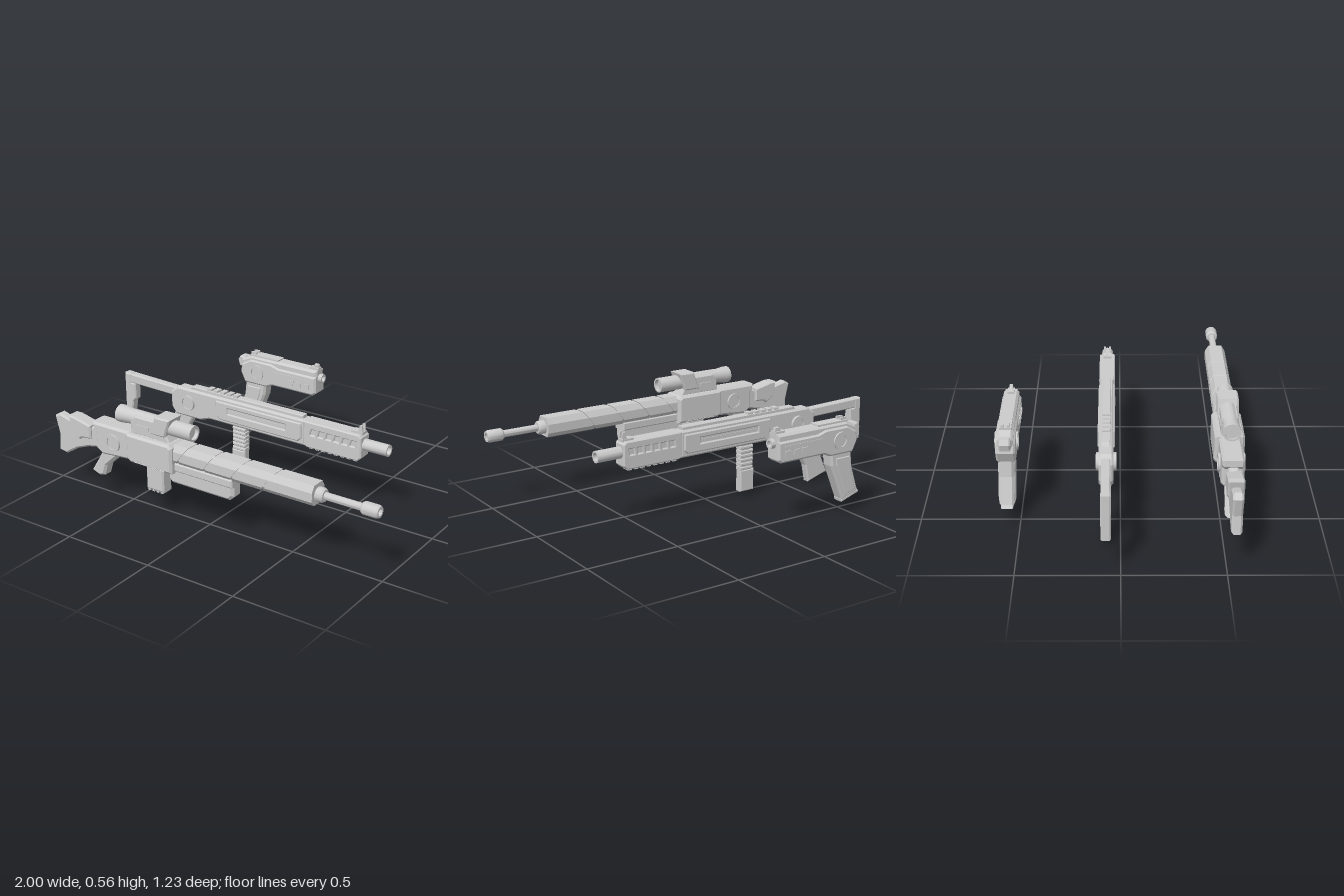
import * as THREE from 'three';
import { toCreasedNormals } from 'three/addons/utils/BufferGeometryUtils.js';

const grey = new THREE.MeshStandardMaterial({ color: 0xcccccc });

function add(group, name, geo) {
  const mesh = new THREE.Mesh(geo, grey);
  mesh.name = name;
  group.add(mesh);
  return mesh;
}

// Side outline (x, y) given thickness in z, with chamfered edges and optional holes
function slab(group, name, pts, half, bevel = 0.008, holes = []) {
  const toV = a => a.map(p => new THREE.Vector2(p[0], p[1]));
  const shape = new THREE.Shape(toV(pts));
  for (const h of holes) shape.holes.push(new THREE.Path(toV(h)));
  const geo = new THREE.ExtrudeGeometry(shape, {
    depth: 2 * (half - bevel), bevelEnabled: bevel > 0, bevelSegments: 1,
    bevelSize: bevel, bevelThickness: bevel, bevelOffset: -bevel
  });
  geo.translate(0, 0, bevel - half);
  return add(group, name, geo);
}

const rect = (x0, x1, y0, y1) => [[x0, y0], [x1, y0], [x1, y1], [x0, y1]];

function box(group, name, x0, x1, y0, y1, half, z = 0) {
  const geo = new THREE.BoxGeometry(x1 - x0, y1 - y0, 2 * half);
  geo.translate((x0 + x1) / 2, (y0 + y1) / 2, z);
  return add(group, name, geo);
}

// Turned part along x; profile holds [radius, x]
function turned(group, name, y, profile, sides = 24) {
  const geo = new THREE.LatheGeometry(profile.map(p => new THREE.Vector2(p[0], p[1])), sides);
  geo.rotateZ(-Math.PI / 2);
  geo.translate(0, y, 0);
  return add(group, name, toCreasedNormals(geo, 0.6));
}

// Round pivot through the body, with a recessed face on both sides
function pivot(group, x, y, r, h) {
  const q = 0.72 * r, d = h - 0.007;
  const prof = [[0, -d], [q, -d], [q, -h], [r, -h], [r, h], [q, h], [q, d], [0, d]];
  const geo = new THREE.LatheGeometry(prof.map(p => new THREE.Vector2(p[0], p[1])), 24);
  geo.rotateX(Math.PI / 2);
  geo.translate(x, y, 0);
  add(group, 'pivotDisc', toCreasedNormals(geo, 0.6));
}

// Faceted handguard section whose ends lean by k0 and k1
function guard(group, name, x0, x1, k0, k1, scale = 1) {
  const half = [[0.036, 0.055], [0.056, 0.022], [0.056, -0.025], [0.036, -0.05]];
  const pts = [...half, ...half.map(p => [-p[0], p[1]]).reverse()];
  const shape = new THREE.Shape(pts.map(p => new THREE.Vector2(p[0] * scale, p[1] * scale)));
  const geo = new THREE.ExtrudeGeometry(shape, { depth: 1, bevelEnabled: false });
  geo.rotateY(Math.PI / 2);
  const pos = geo.attributes.position;
  for (let i = 0; i < pos.count; i++) {
    const y = pos.getY(i), t = pos.getX(i);
    pos.setX(i, THREE.MathUtils.lerp(x0 + k0 * (y - 0.055), x1 + k1 * (y - 0.055), t));
  }
  geo.translate(0, 0.38, 0);
  geo.computeVertexNormals();
  add(group, name, geo);
}

function longRifle() {
  const g = new THREE.Group();
  g.name = 'scopedRifle';
  // Stock
  slab(g, 'butt', [[-0.97, 0.39], [-0.935, 0.41], [-0.84, 0.385], [-0.72, 0.385], [-0.66, 0.40], [-0.66, 0.28],
    [-0.74, 0.265], [-0.82, 0.235], [-0.90, 0.185], [-0.955, 0.195], [-0.945, 0.29]], 0.026, 0.01);
  slab(g, 'cheekRest', [[-0.86, 0.42], [-0.82, 0.42], [-0.71, 0.395], [-0.71, 0.32], [-0.77, 0.315], [-0.79, 0.30], [-0.84, 0.33]], 0.04);
  // Receiver
  slab(g, 'rearReceiver', [[-0.68, 0.435], [-0.43, 0.435], [-0.43, 0.28], [-0.62, 0.265], [-0.66, 0.29], [-0.66, 0.38], [-0.68, 0.40]], 0.055, 0.012);
  pivot(g, -0.54, 0.35, 0.047, 0.066);
  const rim = [[-0.44, 0.30], [-0.42, 0.28], [-0.15, 0.28], [-0.15, 0.42], [-0.17, 0.435], [-0.44, 0.435]];
  slab(g, 'receiverShell', rim, 0.075, 0.012, [rect(-0.375, -0.205, 0.30, 0.41)]);
  box(g, 'receiverCore', -0.42, -0.17, 0.29, 0.42, 0.045);
  turned(g, 'bolt', 0.355, [[0, -0.39], [0.056, -0.39], [0.056, -0.19], [0, -0.19]], 16);
  for (const x of [-0.345, -0.285, -0.225]) box(g, 'windowRib', x - 0.008, x + 0.008, 0.30, 0.41, 0.064);
  // Grip and magazine
  slab(g, 'grip', [[-0.63, 0.285], [-0.51, 0.285], [-0.55, 0.25], [-0.615, 0.19], [-0.635, 0.13], [-0.67, 0.12], [-0.72, 0.14], [-0.675, 0.21]], 0.034, 0.012);
  slab(g, 'magazine', rect(-0.345, -0.235, 0.14, 0.30), 0.036);
  for (let i = 0; i < 4; i++) box(g, 'magazineTooth', -0.34 + i * 0.027, -0.325 + i * 0.027, 0.13, 0.145, 0.03);
  // Handguard
  guard(g, 'handguardCore', -0.16, 0.655, 0, 0, 0.91);
  const cuts = [-0.15, -0.06, 0.1, 0.265, 0.45, 0.665], lean = [0, 0.75, 0.75, 0.75, 0.75, 0];
  for (let i = 0; i < 5; i++) guard(g, 'handguardPlate', cuts[i] + (i ? 0.006 : 0), cuts[i + 1] - (i < 4 ? 0.006 : 0), lean[i], lean[i + 1]);
  slab(g, 'lowerTube', [[-0.2, 0.335], [0.2, 0.335], [0.2, 0.24], [0.175, 0.215], [-0.18, 0.215], [-0.2, 0.235]], 0.038, 0.014);
  slab(g, 'lowerRail', rect(-0.2, 0.2, 0.29, 0.335), 0.046, 0.006);
  // Barrel
  turned(g, 'barrelCollar', 0.38, [[0, 0.65], [0.037, 0.65], [0.037, 0.695], [0.03, 0.705], [0, 0.705]], 12);
  turned(g, 'barrel', 0.38, [[0, 0.69], [0.019, 0.69], [0.019, 0.92], [0, 0.92]]);
  turned(g, 'muzzle', 0.38, [[0, 0.905], [0.026, 0.905], [0.033, 0.915], [0.033, 0.985], [0.028, 0.997], [0.018, 0.997], [0.018, 0.95], [0, 0.95]]);
  // Scope
  turned(g, 'scopeTube', 0.503, [[0, -0.515], [0.036, -0.515], [0.036, -0.527], [0.046, -0.527], [0.046, -0.50], [0.039, -0.445],
    [0.041, -0.43], [0.041, -0.055], [0.032, -0.055], [0.032, -0.075], [0, -0.075]]);
  slab(g, 'scopeMount', [[-0.43, 0.43], [-0.18, 0.43], [-0.20, 0.465], [-0.25, 0.53], [-0.40, 0.53], [-0.43, 0.49]], 0.044);
  slab(g, 'scopeBlock', [[-0.30, 0.46], [-0.205, 0.46], [-0.17, 0.56], [-0.265, 0.56]], 0.053);
  for (const s of [1, -1]) box(g, 'mountPlate', -0.39, -0.31, 0.47, 0.488, 0.004, s * 0.045);
  return g;
}

function carbine() {
  const g = new THREE.Group();
  g.name = 'carbine';
  // Skeleton stock
  slab(g, 'stockBar', [[-1, 0.43], [-0.62, 0.42], [-0.62, 0.35], [-0.67, 0.37], [-0.955, 0.375], [-1, 0.375]], 0.023, 0.006);
  slab(g, 'buttPlate', [[-1, 0.43], [-0.955, 0.43], [-0.955, 0.375], [-0.925, 0.375], [-0.925, 0.285], [-0.945, 0.265], [-0.955, 0.195], [-1, 0.19]], 0.024, 0.006);
  // Receiver
  slab(g, 'receiver', [[-0.66, 0.40], [-0.61, 0.435], [0.22, 0.435], [0.22, 0.29], [-0.40, 0.29], [-0.46, 0.27], [-0.63, 0.27], [-0.66, 0.31]], 0.036, 0.01);
  pivot(g, -0.54, 0.355, 0.044, 0.05);
  const slot = rect(-0.27, 0.10, 0.355, 0.385);
  slab(g, 'sidePanels', [[-0.35, 0.33], [-0.32, 0.31], [0.18, 0.31], [0.2, 0.33], [0.2, 0.415], [-0.35, 0.415]], 0.044, 0.006, [slot]);
  box(g, 'slotBar', -0.27, 0.10, 0.365, 0.375, 0.039);
  slab(g, 'topRail', [[-0.54, 0.43], [0.2, 0.43], [0.2, 0.452], [-0.52, 0.452]], 0.022, 0.004);
  for (let i = 0; i < 5; i++) box(g, 'railTooth', -0.42 + i * 0.043, -0.392 + i * 0.043, 0.45, 0.462, 0.02);
  // Vented handguard
  const vents = [];
  for (let i = 0; i < 6; i++) {
    const x = 0.255 + i * 0.048;
    vents.push([[x, 0.365], [x + 0.028, 0.365], [x + 0.034, 0.395], [x + 0.006, 0.395]]);
  }
  box(g, 'handguardCore', 0.2, 0.54, 0.30, 0.43, 0.032);
  slab(g, 'handguard', [[0.215, 0.30], [0.235, 0.29], [0.54, 0.29], [0.56, 0.31], [0.56, 0.42], [0.545, 0.435], [0.215, 0.435]], 0.042, 0.006, vents);
  for (let i = 0; i < 8; i++) box(g, 'lowerRailTooth', 0.24 + i * 0.038, 0.262 + i * 0.038, 0.28, 0.295, 0.025);
  // Barrel and sights
  turned(g, 'barrel', 0.375, [[0, 0.53], [0.031, 0.53], [0.031, 0.70], [0.022, 0.70], [0.022, 0.64], [0, 0.64]]);
  for (const s of [1, -1]) slab(g, 'frontSight', [[0.50, 0.43], [0.555, 0.43], [0.55, 0.48], [0.537, 0.48], [0.53, 0.45]], 0.005, 0).position.z = s * 0.014;
  box(g, 'sightBase', 0.49, 0.556, 0.43, 0.445, 0.022);
  // Grips
  slab(g, 'rearGrip', [[-0.63, 0.30], [-0.50, 0.30], [-0.53, 0.25], [-0.615, 0.10], [-0.635, 0.0], [-0.765, 0.04], [-0.72, 0.14]], 0.024, 0.007);
  slab(g, 'foreGrip', rect(-0.258, -0.17, 0.03, 0.15), 0.023, 0.006);
  box(g, 'foreGripCore', -0.24, -0.178, 0.14, 0.30, 0.019);
  for (let i = 0; i < 6; i++) slab(g, 'foreGripRidge', rect(-0.252, -0.168, 0.15 + i * 0.023, 0.167 + i * 0.023), 0.023, 0.004);
  return g;
}

function pistol() {
  const g = new THREE.Group();
  g.name = 'pistol';
  // Slide and frame
  slab(g, 'slide', [[-0.02, 0.42], [-0.02, 0.495], [-0.46, 0.495], [-0.53, 0.465], [-0.53, 0.42]], 0.04, 0.012);
  slab(g, 'frame', [[-0.02, 0.365], [-0.02, 0.46], [-0.27, 0.46], [-0.32, 0.475], [-0.46, 0.475], [-0.52, 0.44], [-0.53, 0.39],
    [-0.50, 0.33], [-0.35, 0.33], [-0.31, 0.348], [-0.04, 0.348]], 0.049, 0.01);
  slab(g, 'rearNub', [[-0.56, 0.45], [-0.545, 0.475], [-0.51, 0.475], [-0.51, 0.41], [-0.55, 0.415]], 0.028, 0.006);
  pivot(g, -0.415, 0.405, 0.046, 0.057);
  box(g, 'topPlate', -0.47, -0.28, 0.49, 0.502, 0.03);
  // Side details
  for (const s of [1, -1]) {
    for (let i = 0; i < 3; i++) box(g, 'sideVent', -0.2 + i * 0.052, -0.165 + i * 0.052, 0.385, 0.41, 0.004, s * 0.05);
    box(g, 'sideStrip', -0.30, -0.06, 0.43, 0.436, 0.003, s * 0.049);
    box(g, 'rearSight', -0.47, -0.435, 0.49, 0.515, 0.006, s * 0.015);
  }
  slab(g, 'frontSight', [[-0.075, 0.49], [-0.022, 0.49], [-0.027, 0.525], [-0.05, 0.525]], 0.009, 0.002);
  box(g, 'frontSightBase', -0.08, -0.022, 0.49, 0.505, 0.018);
  // Muzzle
  turned(g, 'muzzle', 0.445, [[0, -0.04], [0.025, -0.04], [0.025, 0.003], [0.016, 0.003], [0.016, -0.02], [0, -0.02]]);
  // Grip
  slab(g, 'grip', [[-0.50, 0.35], [-0.36, 0.35], [-0.37, 0.27], [-0.45, 0.075], [-0.555, 0.11], [-0.51, 0.25]], 0.038, 0.012);
  slab(g, 'gripPanel', [[-0.485, 0.31], [-0.395, 0.31], [-0.40, 0.27], [-0.465, 0.105], [-0.53, 0.125], [-0.49, 0.25]], 0.042, 0.004);
  slab(g, 'magazineBase', [[-0.565, 0.10], [-0.555, 0.115], [-0.445, 0.078], [-0.45, 0.063]], 0.03, 0.003);
  return g;
}

export function createModel() {
  const root = new THREE.Group();
  root.name = 'weaponSet';
  [[longRifle(), 0.54], [carbine(), -0.07], [pistol(), -0.562]].forEach(([g, z]) => {
    g.position.z = z;
    root.add(g);
  });
  return root;
}
